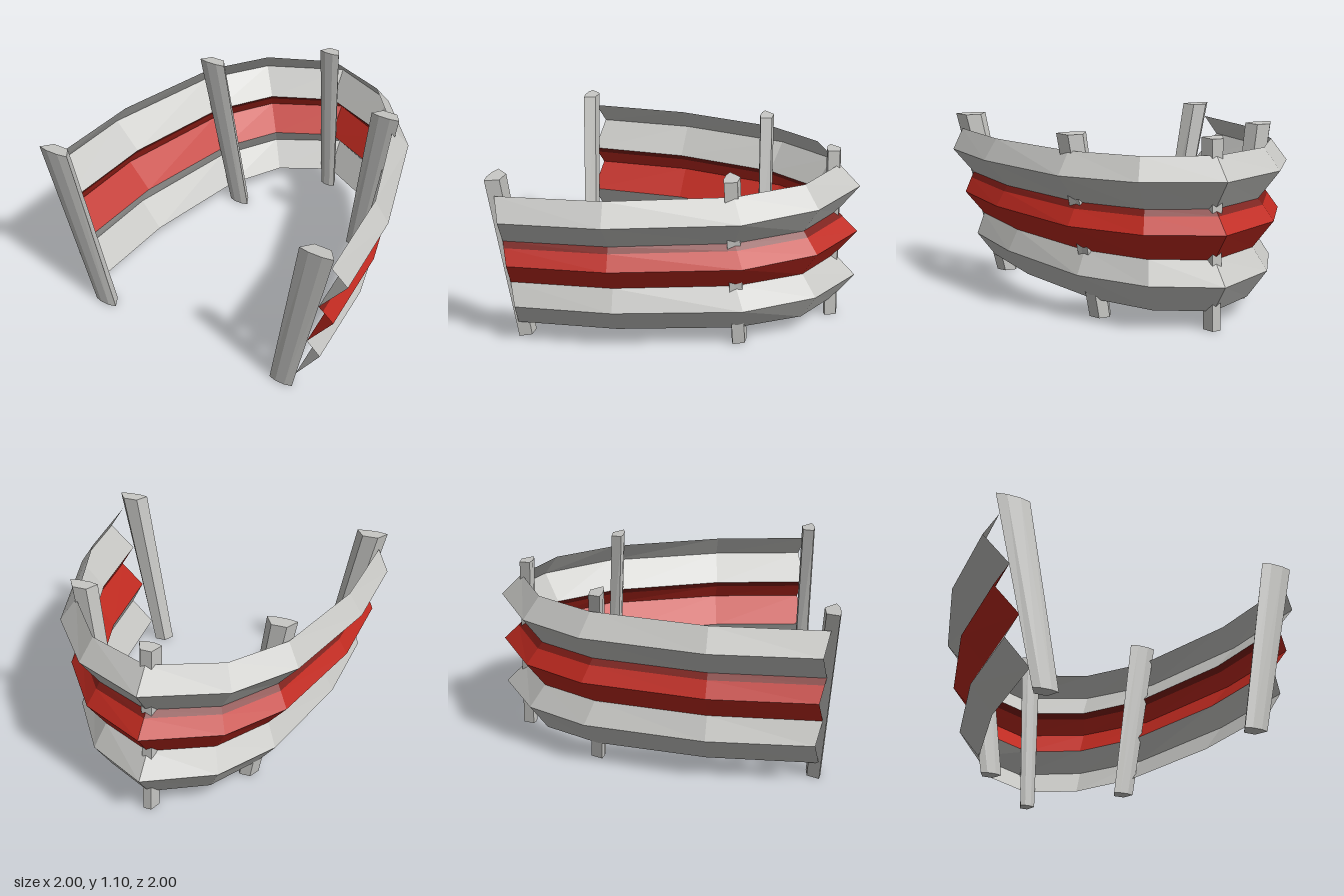
import * as THREE from 'three';

const grey = new THREE.MeshStandardMaterial({ color: 0xc6c6c3, flatShading: true, side: THREE.DoubleSide });
grey.name = 'galvanised grey';
const red = new THREE.MeshStandardMaterial({ color: 0xc02a20, flatShading: true, side: THREE.DoubleSide });
red.name = 'signal red';
const darkRed = new THREE.MeshStandardMaterial({ color: 0x7c1c16, flatShading: true, side: THREE.DoubleSide });
darkRed.name = 'dark red';

// Plan paths [x, z] at full width: the outer fold and the inner edge of a rail
const ridge = [[-1.03, 0.91], [-1.0, 0.29], [-0.795, -0.42], [-0.515, -0.78], [-0.03, -1],
  [0.425, -0.8], [0.755, -0.41], [0.98, 0.33], [1.03, 0.91]];
const edge = [[-0.92, 0.95], [-0.88, 0.3], [-0.69, -0.36], [-0.44, -0.69], [-0.03, -0.87],
  [0.36, -0.71], [0.645, -0.35], [0.865, 0.34], [0.92, 0.95]];

// The whole barrier narrows towards the ground, so everything leans outward
const spread = (y) => 1 - 0.24 * (1 - y);

// Joins rows of points into a surface
function loft(rows, closed) {
  const n = rows[0].length, pos = [], idx = [];
  rows.forEach((r) => r.forEach((p) => pos.push(...p)));
  for (let r = 0; r < rows.length - 1; r++) {
    for (let i = 0; i < (closed ? n : n - 1); i++) {
      const a = r * n + i, b = r * n + (i + 1) % n;
      idx.push(a, b, b + n, a, b + n, a + n);
    }
  }
  if (closed) {
    const top = (rows.length - 1) * n;
    for (let i = 1; i < n - 1; i++) {
      idx.push(0, i + 1, i, top, top + i, top + i + 1);
    }
  }
  const g = new THREE.BufferGeometry();
  g.setAttribute('position', new THREE.Float32BufferAttribute(pos, 3));
  g.setIndex(idx);
  g.computeVertexNormals();
  return g;
}

// A row along the bend: t = 0 on the inner edge, 1 on the outer fold
const bendRow = (y, t) => edge.map(([ex, ez], i) => [
  (ex + (ridge[i][0] - ex) * t) * spread(y), y, ez + (ridge[i][1] - ez) * t,
]);

function add(group, name, geometry, material) {
  const m = new THREE.Mesh(geometry, material);
  m.name = name;
  group.add(m);
}

// Post with a faceted front and a narrow back, widening upward
function postGeometry(x, z, w) {
  const section = [[-0.5, -0.012], [-0.2, 0], [0.2, 0], [0.5, -0.012], [0.25, -0.08], [-0.25, -0.08]];
  const rows = [0, 1.1].map((y) => section.map(([sx, sz]) => [
    (x + sx * w) * spread(y), y && y + sz * 0.1, z + sz + 0.027 * y,
  ]));
  return loft(rows, true);
}

export function createModel() {
  const model = new THREE.Group();
  model.name = 'curvedBarrier';

  // Three folded rails
  add(model, 'topRail', loft([bendRow(0.7, 0), bendRow(0.87, 1), bendRow(1, 0)]), grey);
  add(model, 'middleRail', loft([bendRow(0.41, 0), bendRow(0.575, 1), bendRow(0.665, 0.28)]), red);
  add(model, 'middleRailUpperStrip', loft([bendRow(0.665, 0.28), bendRow(0.7, 0)]), darkRed);
  add(model, 'bottomRail', loft([bendRow(0.11, 0), bendRow(0.28, 1), bendRow(0.41, 0)]), grey);

  // Posts on the inner side of the bend
  const posts = [
    ['rightFrontPost', -0.84, 0.97, 0.195], ['leftFrontPost', 0.83, 0.97, 0.195],
    ['rightMiddlePost', -0.615, -0.32, 0.178], ['leftMiddlePost', 0.595, -0.32, 0.178],
    ['backPost', -0.035, -0.82, 0.132],
  ];
  for (const [name, x, z, w] of posts) add(model, name, postGeometry(x, z, w), grey);

  return model;
}
